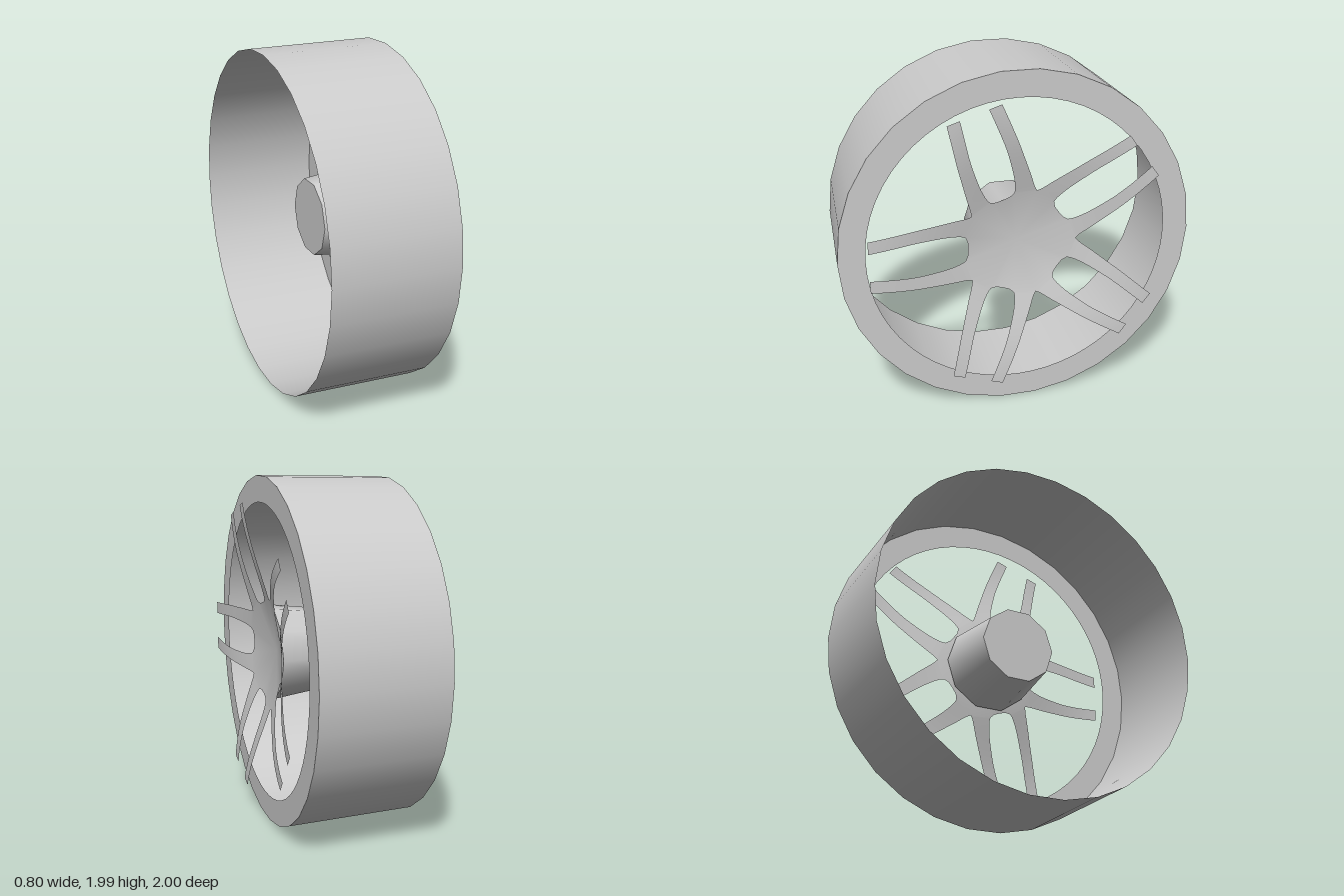
import * as THREE from 'three';
import { mergeVertices } from 'three/addons/utils/BufferGeometryUtils.js';

const FRONT = 0.32; // x of the rim's front face

function add(group, name, geometry) {
  const material = new THREE.MeshStandardMaterial({ color: 0xcccccc, side: THREE.DoubleSide });
  const mesh = new THREE.Mesh(geometry, material);
  mesh.name = name;
  group.add(mesh);
}

// Points on a circle
function circle(radius, sides) {
  return Array.from({ length: sides }, (_, i) => {
    const a = (i / sides) * Math.PI * 2;
    return new THREE.Vector2(radius * Math.cos(a), radius * Math.sin(a));
  });
}

// Dished profile of the spokes: x as a function of radius
function dishX(r) {
  return 0.24 + 0.158 * Math.sin((Math.PI / 2) * Math.pow(Math.min(1, r / 0.85), 1.32));
}

// Five pairs of thin curved spokes growing out of a pleated hub face
function spokeGeometry() {
  const spline = pts => new THREE.SplineCurve(pts.map(p => new THREE.Vector2(...p))).getPoints(15);
  // Edges of one spoke: distance outward, sideways offset from the pair's middle
  const inner = spline([[0.3, 0.07], [0.33, 0.083], [0.4, 0.095], [0.5, 0.1], [0.62, 0.099], [0.84, 0.08]]);
  const outer = spline([[0.267, 0.194], [0.3, 0.188], [0.38, 0.186], [0.5, 0.18], [0.62, 0.173], [0.84, 0.152]]);
  const centre = new THREE.Vector2(0, 0);
  const hubEdge = [new THREE.Vector2(0.285, 0), new THREE.Vector2(0.287, 0.04), inner[0], outer[0]];

  const positions = [];
  for (let k = 0; k < 5; k++) {
    const c = Math.cos(k * Math.PI * 0.4), s = Math.sin(k * Math.PI * 0.4);
    for (const side of [1, -1]) {
      const triangle = (a, b, d) => {
        for (const p of side > 0 ? [a, b, d] : [a, d, b]) {
          const v = p.y * side;
          positions.push(dishX(p.length()), p.x * s + v * c, p.x * c - v * s);
        }
      };
      for (let i = 0; i < hubEdge.length - 1; i++) triangle(centre, hubEdge[i + 1], hubEdge[i]);
      for (let i = 0; i < inner.length - 1; i++) {
        triangle(inner[i], outer[i], inner[i + 1]);
        triangle(outer[i], outer[i + 1], inner[i + 1]);
      }
    }
  }
  const geometry = new THREE.BufferGeometry();
  geometry.setAttribute('position', new THREE.Float32BufferAttribute(positions, 3));
  const merged = mergeVertices(geometry, 1e-3);
  merged.computeVertexNormals();
  return merged;
}

export function createModel() {
  const model = new THREE.Group();
  model.name = 'wheel';
  const wheel = new THREE.Group();
  wheel.name = 'wheelBody';
  wheel.position.y = 0.995;
  model.add(wheel);

  // Rim barrel, open at the back
  const barrel = new THREE.CylinderGeometry(1, 0.985, FRONT + 0.4, 30, 1, true);
  barrel.rotateZ(-Math.PI / 2).translate((FRONT - 0.4) / 2, 0, 0);
  add(wheel, 'rimBarrel', barrel);

  // Flat front ring
  const ringShape = new THREE.Shape(circle(1, 30));
  ringShape.holes.push(new THREE.Path(circle(0.85, 60)));
  const ring = new THREE.ShapeGeometry(ringShape);
  ring.rotateY(Math.PI / 2).translate(FRONT, 0, 0);
  add(wheel, 'rimFace', ring);

  // Tapered hub behind the spokes, closed at the back
  const hub = new THREE.CylinderGeometry(0.275, 0.225, 0.38, 10, 1, false);
  hub.rotateZ(-Math.PI / 2).translate(0.09, 0, 0);
  // Sink the front cap's middle so it follows the dish
  const pos = hub.attributes.position;
  for (let i = 0; i < pos.count; i++) {
    if (pos.getX(i) > 0.2 && Math.hypot(pos.getY(i), pos.getZ(i)) < 0.1) pos.setX(i, 0.22);
  }
  add(wheel, 'hub', hub);

  add(wheel, 'spokes', spokeGeometry());
  return model;
}
